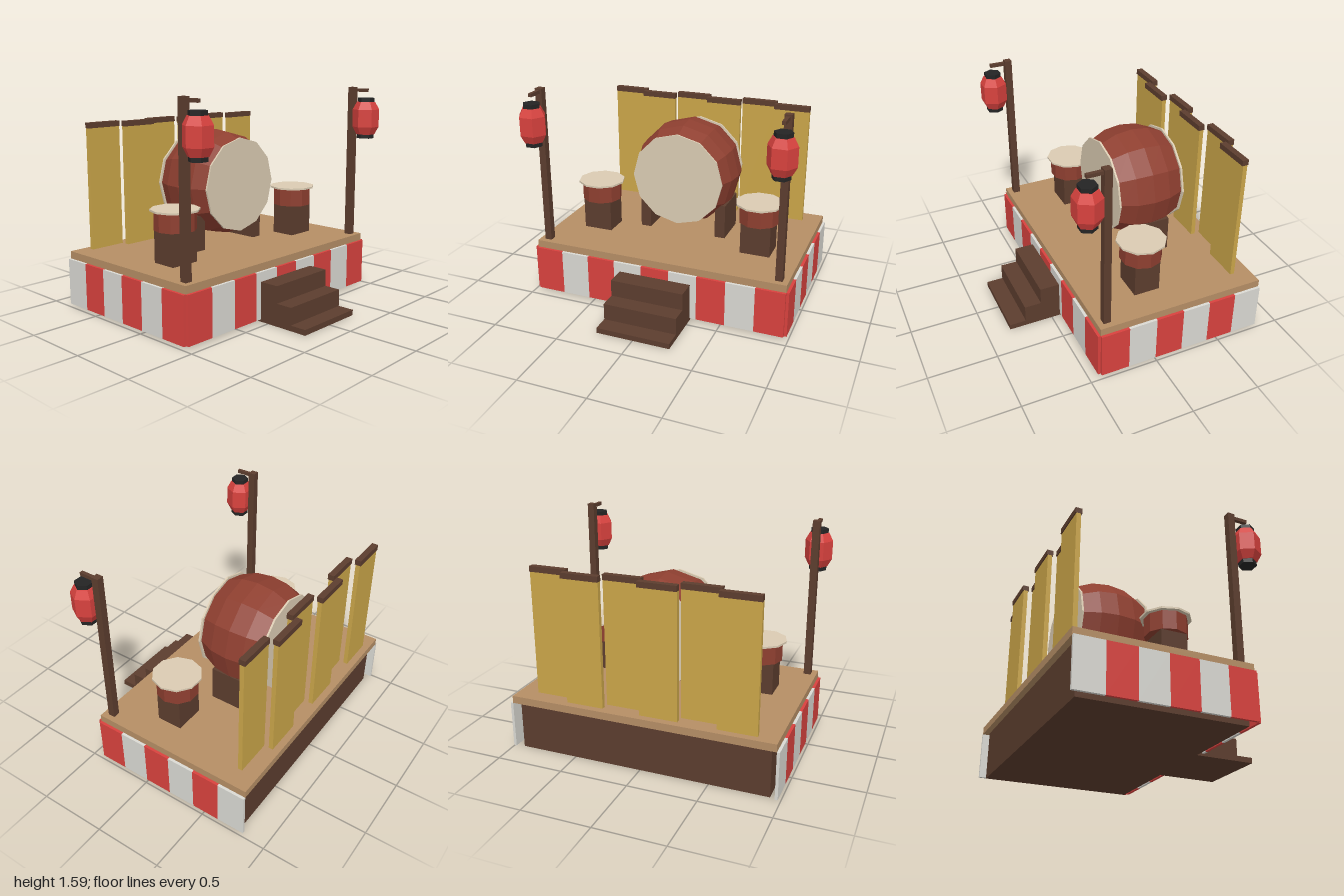
import * as THREE from 'three';

const mat = (name, color) => new THREE.MeshStandardMaterial({ name, color, flatShading: true });

export function createModel() {
  const model = new THREE.Group();
  model.name = 'drumStage';

  const darkWood = mat('dark wood', 0x5c3d2e);
  const deckWood = mat('deck wood', 0xb58e65);
  const red = mat('red cloth', 0xd8423e);
  const white = mat('white cloth', 0xdad9d3);
  const gold = mat('gold panel', 0xcaa549);
  const drumRed = mat('drum red', 0x8e3f30);
  const skin = mat('drum skin', 0xdacbb2);
  const black = mat('black trim', 0x242424);

  const add = (name, geometry, material, x, y, z, parent = model) => {
    const mesh = new THREE.Mesh(geometry, material);
    mesh.name = name;
    mesh.position.set(x, y, z);
    parent.add(mesh);
    return mesh;
  };
  // Box given by its lower and upper limits on each axis
  const box = (name, material, [x0, x1], [y0, y1], [z0, z1], parent = model) =>
    add(name, new THREE.BoxGeometry(x1 - x0, y1 - y0, z1 - z0), material,
      (x0 + x1) / 2, (y0 + y1) / 2, (z0 + z1) / 2, parent);
  const lathe = (points, sides) =>
    new THREE.LatheGeometry(points.map(([r, y]) => new THREE.Vector2(r, y)), sides);

  // Platform
  box('base', darkWood, [-0.925, 0.925], [0, 0.36], [-0.785, 0.375]);
  box('deck', deckWood, [-0.965, 0.965], [0.36, 0.415], [-0.827, 0.415]);

  // Striped curtain on the front and both sides
  const frontWidth = 1.93 / 9;
  for (let i = 0; i < 9; i++) {
    const x = -0.965 + i * frontWidth;
    box('frontCurtainStripe', i % 2 ? white : red, [x, x + frontWidth], [0.017, 0.36], [0.415, 0.435]);
  }
  const sideDepth = 1.242 / 6;
  for (const s of [-1, 1]) {
    for (let i = 0; i < 6; i++) {
      const z = 0.415 - i * sideDepth;
      const x = s * 0.975;
      box('sideCurtainStripe', i % 2 ? white : red, [x - 0.01, x + 0.01], [0.017, 0.36], [z - sideDepth, z]);
    }
  }

  // Front steps
  [[0.29, 0.375, 0.58], [0.165, 0.58, 0.705], [0.04, 0.705, 0.828]].forEach(([top, z0, z1]) =>
    box('step', darkWood, [-0.275, 0.275], [0, top], [z0, z1]));

  // Staggered folding screen
  for (let i = 0; i < 6; i++) {
    const x = -0.825 + i * 0.275;
    const z = i % 2 ? -0.692 : -0.76;
    box('screenPanel', gold, [x, x + 0.275], [0.415, 1.315], [z - 0.016, z + 0.016]);
    box('screenCap', darkWood, [x, x + 0.275], [1.315, 1.355], [z - 0.023, z + 0.023]);
  }

  // Large barrel drum, axis front to back
  const bigDrum = new THREE.Group();
  bigDrum.name = 'bigDrum';
  bigDrum.position.set(0, 0.885, -0.275);
  bigDrum.rotation.x = Math.PI / 2;
  model.add(bigDrum);
  add('bigDrumBody', lathe([[0.332, -0.25], [0.385, -0.127], [0.4, 0], [0.385, 0.127], [0.332, 0.25]], 12),
    drumRed, 0, 0, 0, bigDrum);
  for (const s of [-1, 1]) {
    add('bigDrumSkin', new THREE.CylinderGeometry(0.352, 0.352, 0.014, 12), skin, 0, s * 0.252, 0, bigDrum);
    box('bigDrumStand', darkWood, [s * 0.305 - 0.04, s * 0.305 + 0.04], [0.415, 0.68], [-0.422, -0.13]);
  }

  for (const s of [-1, 1]) {
    // Small drum on its block
    const x = s * 0.635;
    box('smallDrumStand', darkWood, [x - 0.112, x + 0.112], [0.415, 0.65], [-0.135, 0.056]);
    add('smallDrumBody', new THREE.CylinderGeometry(0.15, 0.15, 0.135, 10), drumRed, x, 0.7175, -0.04)
      .rotation.y = Math.PI / 2;
    add('smallDrumSkin', new THREE.CylinderGeometry(0.177, 0.177, 0.014, 10), skin, x, 0.792, -0.04)
      .rotation.y = Math.PI / 2;

    // Lantern post with arm
    const px = s * 0.898;
    box('lanternPost', darkWood, [px - 0.026, px + 0.026], [0.415, 1.59], [0.322, 0.374]);
    box('lanternArm', darkWood, [px - 0.013, px + 0.013], [1.555, 1.58], [0.374, 0.485]);

    // Six-sided lantern
    const lantern = new THREE.Group();
    lantern.name = 'lantern';
    lantern.position.set(px, 1.355, 0.473);
    lantern.rotation.y = Math.PI / 2;
    model.add(lantern);
    add('lanternBody', lathe([[0.07, -0.125], [0.101, -0.067], [0.101, 0.067], [0.07, 0.125]], 6),
      red, 0, 0, 0, lantern);
    for (const e of [-1, 1])
      add('lanternCap', new THREE.CylinderGeometry(0.064, 0.064, 0.035, 6), black, 0, e * 0.138, 0, lantern);
  }

  // Close the lantern ends around the caps
  model.traverse((o) => {
    if (o.name === 'lanternBody') o.geometry = lathe(
      [[0, -0.125], [0.07, -0.125], [0.101, -0.067], [0.101, 0.067], [0.07, 0.125], [0, 0.125]], 6);
  });
  return model;
}
